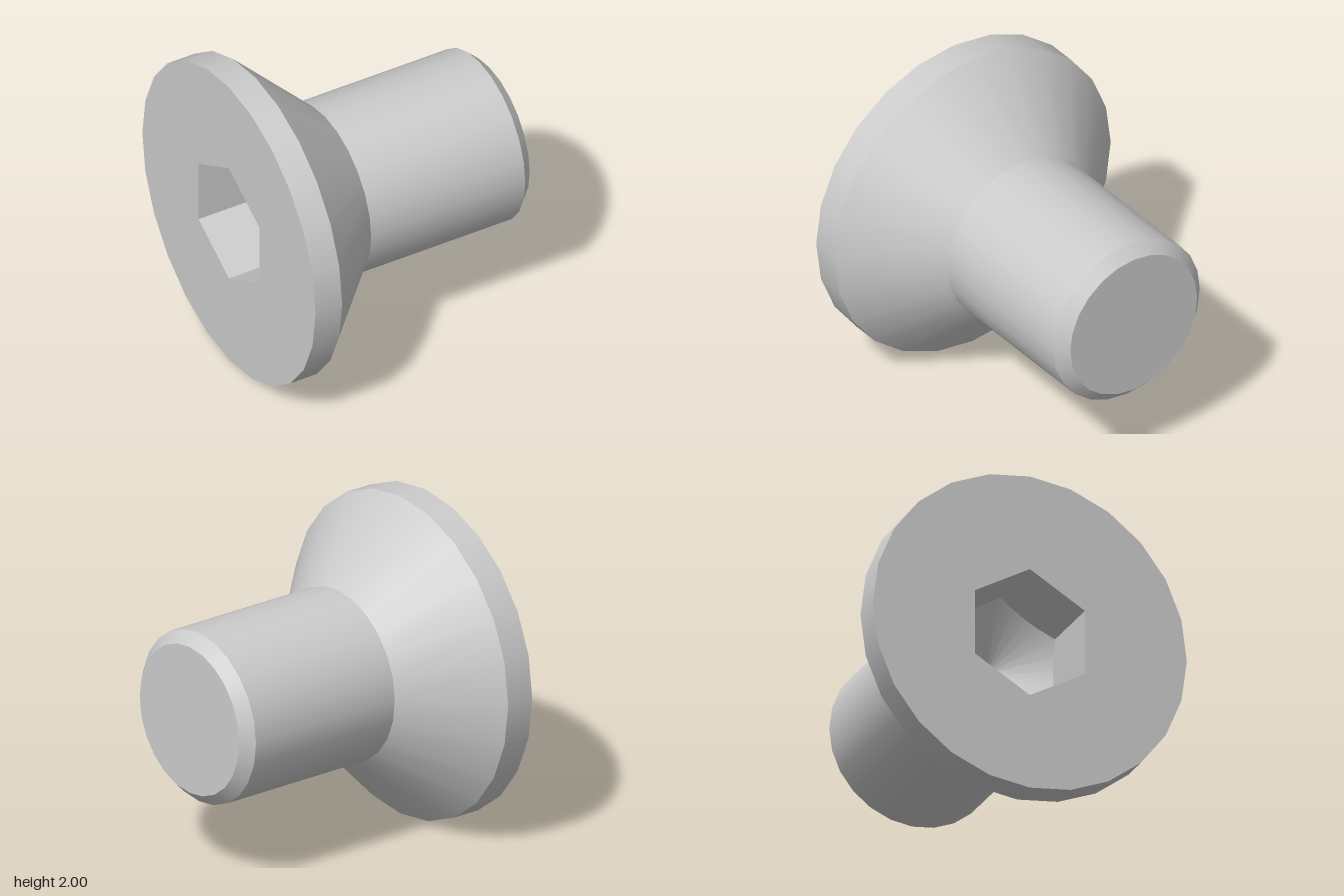
import * as THREE from 'three';

const SEGMENTS = 24;
const HEAD_X = -0.88, TIP_X = 0.88, HEX_R = 0.405;

export function createModel() {
  const group = new THREE.Group();
  group.name = 'countersunkScrew';
  const smooth = new THREE.MeshStandardMaterial({ color: 0xcccccc });
  const flat = new THREE.MeshStandardMaterial({ color: 0xcccccc, flatShading: true });

  const add = (name, geometry, material = smooth) => {
    const mesh = new THREE.Mesh(geometry, material);
    mesh.name = name;
    group.add(mesh);
  };

  // Turned section about the x axis; profile points are [radius, x].
  // Rising x faces outward, falling x faces inward.
  const turned = (name, profile, segments = SEGMENTS, material = smooth) => {
    const points = profile.map(([r, x]) => new THREE.Vector2(r, x));
    add(name, new THREE.LatheGeometry(points, segments, Math.PI / 2).rotateZ(-Math.PI / 2), material);
  };

  // Outer surface, one section per sharp edge
  turned('headRim', [[1, HEAD_X], [1, -0.7]]);
  turned('headCone', [[1, -0.7], [0.53, -0.23]]);
  turned('shank', [[0.53, -0.23], [0.53, 0.81]]);
  turned('tipChamfer', [[0.53, 0.81], [0.46, TIP_X]]);
  turned('tipFace', [[0.46, TIP_X], [0, TIP_X]]);

  // Flat head face with the hexagonal opening
  const ring = (radius, sides) => Array.from({ length: sides }, (_, i) => {
    const a = Math.PI / 2 + (i / sides) * Math.PI * 2;
    return new THREE.Vector2(radius * Math.cos(a), radius * Math.sin(a));
  });
  const face = new THREE.Shape(ring(1, SEGMENTS));
  face.holes.push(new THREE.Path(ring(HEX_R, 6)));
  add('headFace', new THREE.ShapeGeometry(face).rotateY(-Math.PI / 2).translate(HEAD_X, 0, 0));

  // Hex socket walls, closed by a drilled conical floor
  turned('socketWalls', [[HEX_R, -0.41], [HEX_R, HEAD_X]], 6, flat);
  turned('socketFloor', [[0, -0.25], [HEX_R, -0.45]]);

  group.position.y = 1;
  return group;
}
